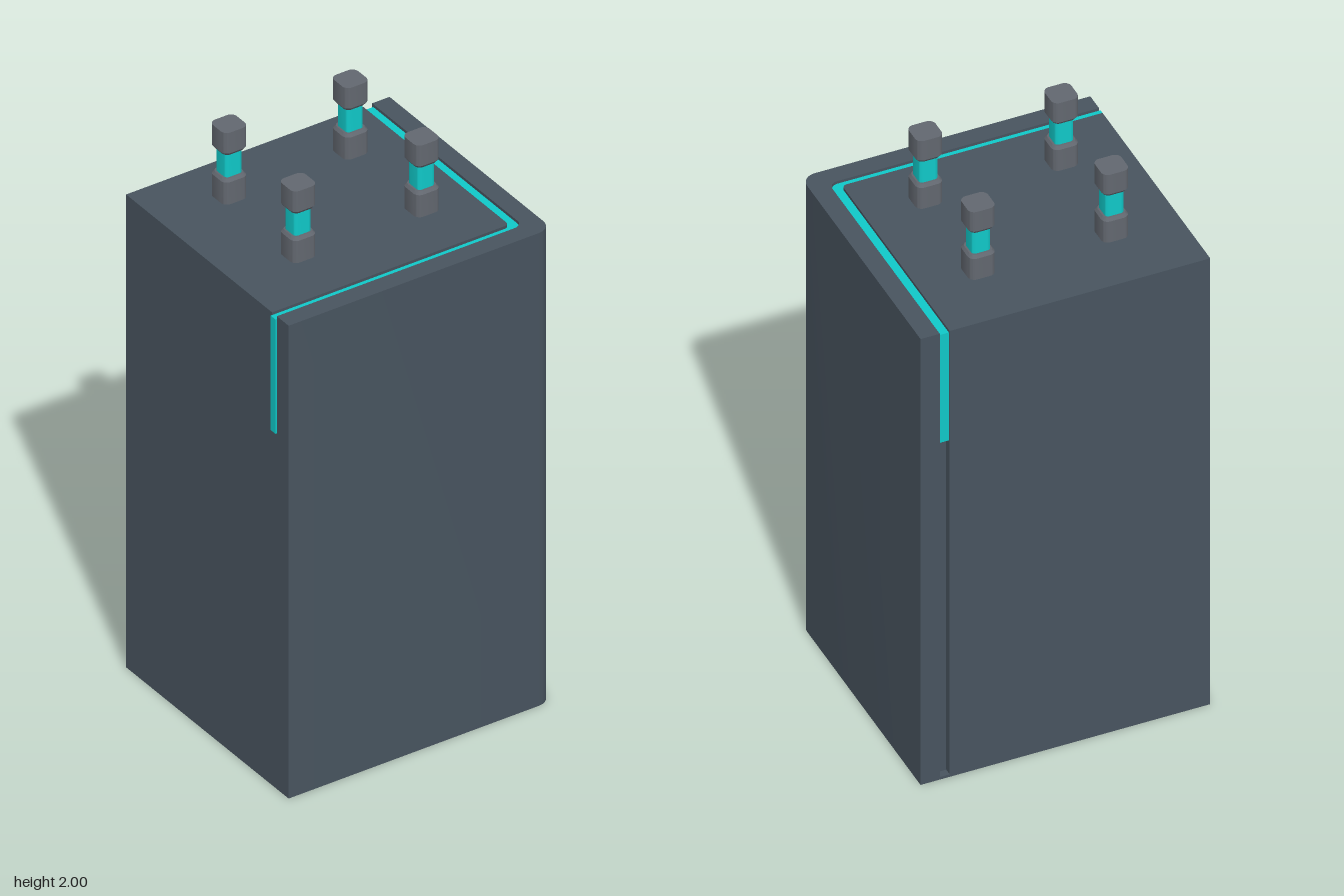
import * as THREE from 'three';
import { toCreasedNormals } from 'three/addons/utils/BufferGeometryUtils.js';

const dark = new THREE.MeshStandardMaterial({ color: 0x48545f });
const grey = new THREE.MeshStandardMaterial({ color: 0x62676f });
const cyan = new THREE.MeshStandardMaterial({ color: 0x10c8c8 });

// Plan shapes use shape x = model x, shape y = model z
// Rectangle with only its +x/+z corner rounded
function slabShape(x0, z0, x1, z1, r) {
  const s = new THREE.Shape();
  s.moveTo(x0, z0);
  s.lineTo(x1, z0);
  s.lineTo(x1, z1 - r);
  s.absarc(x1 - r, z1 - r, r, 0, Math.PI / 2, false);
  s.lineTo(x0, z1);
  s.closePath();
  return s;
}

// L-shaped band between an inner and an outer rounded corner
function bandShape(x0, z0, [xi, zi, ri], [xo, zo, ro]) {
  const s = new THREE.Shape();
  s.moveTo(xi, z0);
  s.lineTo(xo, z0);
  s.lineTo(xo, zo - ro);
  s.absarc(xo - ro, zo - ro, ro, 0, Math.PI / 2, false);
  s.lineTo(x0, zo);
  s.lineTo(x0, zi);
  s.lineTo(xi - ri, zi);
  s.absarc(xi - ri, zi - ri, ri, Math.PI / 2, 0, true);
  s.closePath();
  return s;
}

function roundedRect(w, d, r) {
  const s = new THREE.Shape();
  const x = w / 2 - r, z = d / 2 - r;
  s.absarc(x, z, r, 0, Math.PI / 2, false);
  s.absarc(-x, z, r, Math.PI / 2, Math.PI, false);
  s.absarc(-x, -z, r, Math.PI, Math.PI * 1.5, false);
  s.absarc(x, -z, r, Math.PI * 1.5, Math.PI * 2, false);
  s.closePath();
  return s;
}

// Upright prism from y0 to y1
function prism(shape, y0, y1, steps = 1) {
  const g = new THREE.ExtrudeGeometry(shape, { depth: y1 - y0, steps, bevelEnabled: false, curveSegments: 6 });
  g.rotateX(Math.PI / 2);
  g.translate(0, y1, 0);
  return g;
}

function addMesh(parent, name, geometry, material) {
  const mesh = new THREE.Mesh(toCreasedNormals(geometry, 0.6), material);
  mesh.name = name;
  parent.add(mesh);
  return mesh;
}

// Block whose upper or lower rim is chamfered
function chamferedBlock(y0, y1, chamferTop) {
  const g = prism(roundedRect(0.088, 0.086, 0.022), y0, y1, 2);
  const p = g.attributes.position;
  const mid = (y0 + y1) / 2;
  const rim = chamferTop ? y1 : y0;
  for (let i = 0; i < p.count; i++) {
    const y = p.getY(i);
    if (Math.abs(y - mid) < 0.001) p.setY(i, rim + (chamferTop ? -0.01 : 0.01));
    else if (Math.abs(y - rim) < 0.001) {
      p.setX(i, p.getX(i) * 0.84);
      p.setZ(i, p.getZ(i) * 0.84);
    }
  }
  return g;
}

export function createModel() {
  const model = new THREE.Group();
  model.name = 'lightTower';

  const top = 1.715, floor = 0.01, stripBottom = 1.29;
  const grooveInner = [0.387, 0.35, 0.015];
  const grooveOuter = [0.42, 0.376, 0.03];
  const outer = [0.484, 0.44, 0.048];

  // Body: base, main core and the L-shaped shell around two sides
  const body = new THREE.Group();
  body.name = 'body';
  model.add(body);
  addMesh(body, 'base', prism(slabShape(-0.482, -0.44, ...outer), 0, floor), dark);
  addMesh(body, 'core', prism(slabShape(-0.482, -0.44, ...grooveInner), floor, top), dark);
  addMesh(body, 'shell', prism(bandShape(-0.482, -0.44, grooveOuter, outer), floor, top), dark);

  // Groove filling, set back at the rear, with the lit strip above it
  addMesh(body, 'grooveFilling', prism(bandShape(-0.482, -0.415, grooveInner, grooveOuter), floor, stripBottom), dark);
  addMesh(model, 'lightStrip', prism(bandShape(-0.487, -0.434, grooveInner, grooveOuter), stripBottom, 1.705), cyan);

  // Four posts hovering over the top
  const posts = [[-0.248, -0.229], [0.197, -0.229], [-0.256, 0.157], [0.197, 0.157]];
  for (const [x, z] of posts) {
    const post = new THREE.Group();
    post.name = 'post';
    post.position.set(x, 0, z);
    addMesh(post, 'postFoot', chamferedBlock(1.74, 1.83, true), grey);
    addMesh(post, 'postLight', prism(roundedRect(0.062, 0.06, 0.012), 1.82, 1.93), cyan);
    addMesh(post, 'postCap', chamferedBlock(1.915, 2, false), grey);
    model.add(post);
  }
  return model;
}
